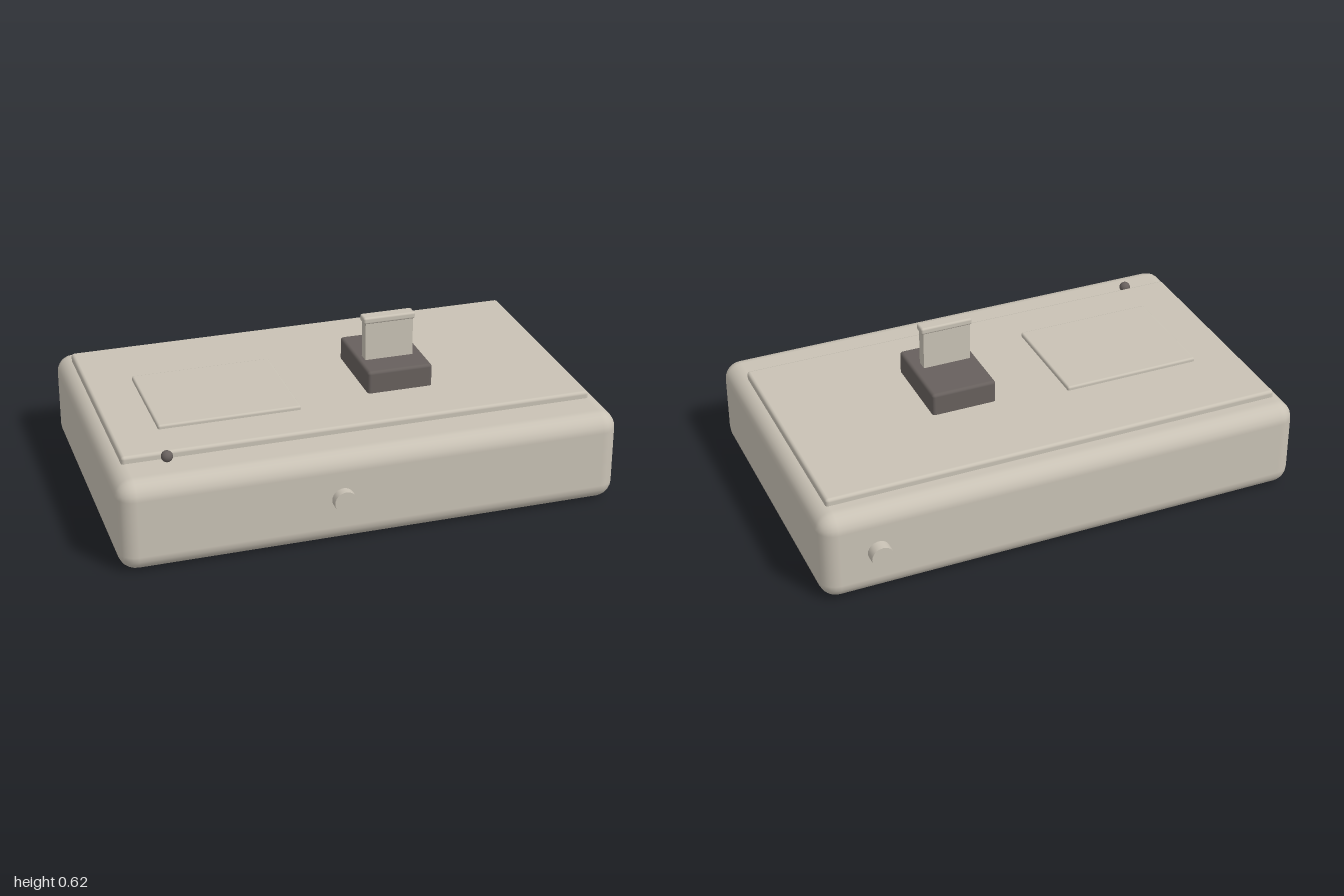
import * as THREE from 'three';
import { RoundedBoxGeometry } from 'three/addons/geometries/RoundedBoxGeometry.js';

const shell = new THREE.MeshStandardMaterial({ color: 0xc9c2b5 });
shell.name = 'warm grey plastic';
const dark = new THREE.MeshStandardMaterial({ color: 0x67605d });
dark.name = 'dark grey plastic';

export function createModel() {
  const model = new THREE.Group();
  model.name = 'switchBox';

  const add = (name, geometry, material, x, y, z) => {
    const mesh = new THREE.Mesh(geometry, material);
    mesh.name = name;
    mesh.position.set(x, y, z);
    model.add(mesh);
    return mesh;
  };
  // Rounded block spanning the heights y0 to y1
  const block = (name, material, w, d, y0, y1, x, z, r, segments = 2) =>
    add(name, new RoundedBoxGeometry(w, y1 - y0, d, segments, r), material, x, (y0 + y1) / 2, z);

  // Housing with its raised cover and pad
  block('housing', shell, 1.847, 1.163, 0, 0.344, 0, 0.007, 0.065, 3);
  block('coverPlate', shell, 1.743, 0.904, 0.31, 0.37, -0.002, -0.03, 0.012);
  block('raisedPad', shell, 0.527, 0.432, 0.35, 0.385, -0.44, 0.034, 0.008);

  // Lever on its dark base
  block('leverBase', dark, 0.248, 0.337, 0.35, 0.455, 0.217, 0.03, 0.012);
  add('leverStem', new THREE.BoxGeometry(0.183, 0.17, 0.043), shell, 0.209, 0.525, 0.07);
  block('leverCap', shell, 0.199, 0.051, 0.598, 0.624, 0.209, 0.07, 0.008);

  // Small indicator bead beside the cover
  add('indicatorBead', new THREE.SphereGeometry(0.021, 20, 14), dark, -0.718, 0.363, 0.442);

  // Round pegs on the front and back walls
  for (const [name, x, z] of [['frontPeg', -0.127, 0.586], ['backPeg', 0.718, -0.582]]) {
    add(name, new THREE.CylinderGeometry(0.041, 0.041, 0.07, 24), shell, x, 0.176, z)
      .rotation.x = Math.PI / 2;
  }

  // The whole unit sits slightly turned
  model.rotation.y = THREE.MathUtils.degToRad(10);
  const root = new THREE.Group();
  root.name = 'model';
  root.add(model);
  return root;
}
